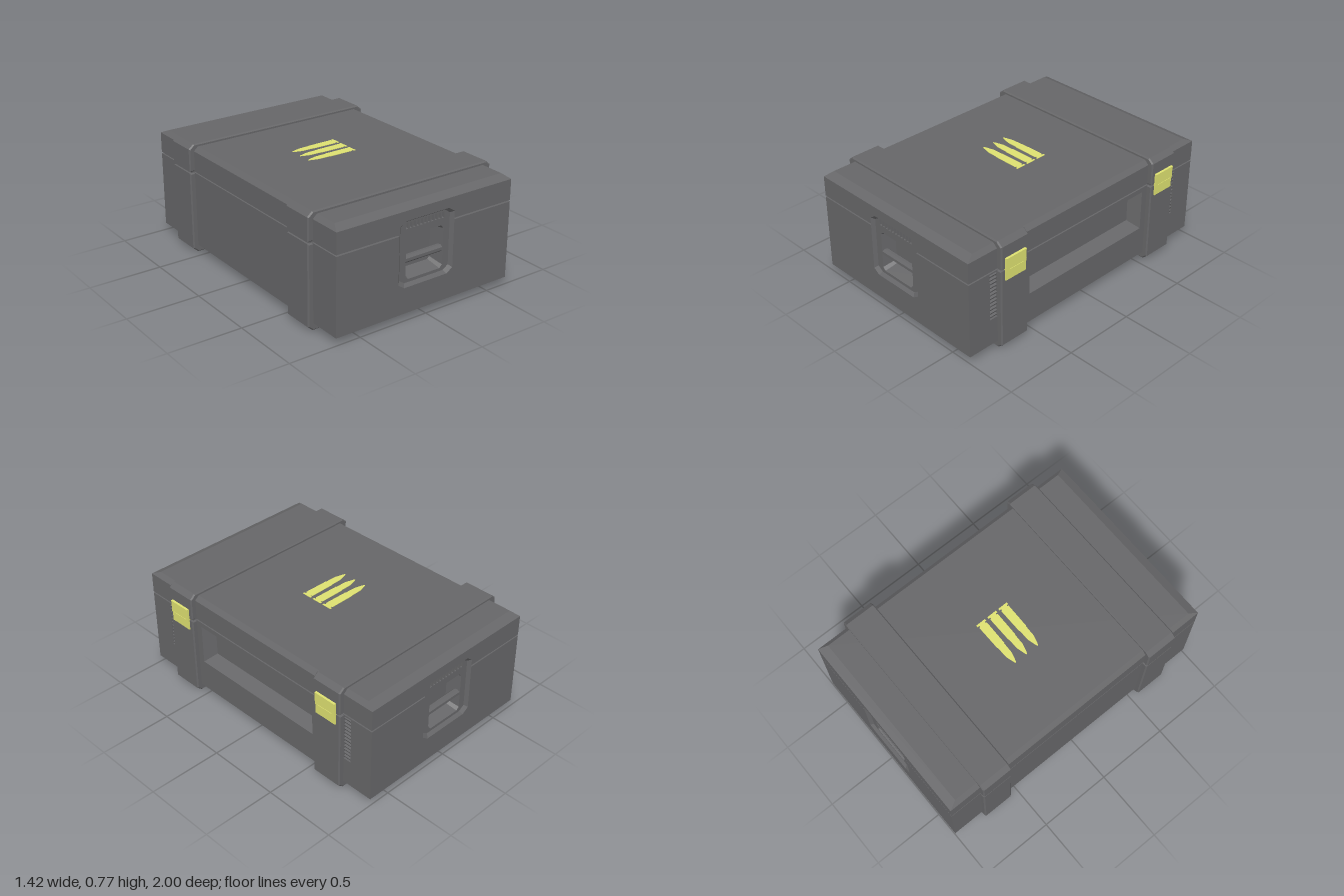
import * as THREE from 'three';

const HALF_W = 0.665, SEAM_LOW = 0.57, SEAM_HIGH = 0.58;
const dark = new THREE.MeshStandardMaterial({ color: 0x666668, flatShading: true });
const yellow = new THREE.MeshStandardMaterial({ color: 0xdde070, flatShading: true });

function add(parent, name, geometry, material = dark) {
  const mesh = new THREE.Mesh(geometry, material);
  mesh.name = name;
  parent.add(mesh);
  return mesh;
}

// Box given by its limits
function box(x0, x1, y0, y1, z0, z1) {
  return new THREE.BoxGeometry(x1 - x0, y1 - y0, z1 - z0)
    .translate((x0 + x1) / 2, (y0 + y1) / 2, (z0 + z1) / 2);
}

// Counter-clockwise outlines
const rect = (x0, x1, y0, y1) => [[x0, y0], [x1, y0], [x1, y1], [x0, y1]];
const octagon = (x, y0, y1, c, d) => [
  [-x + c, y0], [x - c, y0], [x, y0 + d], [x, y1 - d],
  [x - c, y1], [-x + c, y1], [-x, y1 - d], [-x, y0 + d]];

function shapeOf(points, holes = []) {
  const shape = new THREE.Shape(points.map(p => new THREE.Vector2(...p)));
  shape.holes = holes.map(h => new THREE.Path(h.map(p => new THREE.Vector2(...p))));
  return shape;
}

const slab = (points, depth, holes) =>
  new THREE.ExtrudeGeometry(shapeOf(points, holes), { depth, bevelEnabled: false });

// Walls between an outline at z = 0 and a second one at z = dz
function loft(from, to, dz) {
  const v = [];
  from.forEach((a, i) => {
    const j = (i + 1) % from.length;
    const A = [...a, 0], B = [...from[j], 0], C = [...to[j], dz], D = [...to[i], dz];
    v.push(...A, ...B, ...C, ...A, ...C, ...D);
  });
  const g = new THREE.BufferGeometry();
  g.setAttribute('position', new THREE.Float32BufferAttribute(v, 3));
  g.computeVertexNormals();
  return g;
}

// Recess (dz < 0) or raised frustum (dz > 0) with its closing face
function taper(parent, name, from, to, dz, z = 0, holes = []) {
  const group = new THREE.Group();
  group.name = name;
  group.position.z = z;
  parent.add(group);
  add(group, name + 'Walls', loft(from, to, dz));
  add(group, name + 'Face', new THREE.ShapeGeometry(shapeOf(to, holes)).translate(0, 0, dz));
  return group;
}

// End wall with its sunken grip panel, facing +z
const PANEL = octagon(0.21, 0.222, 0.655, 0.045, 0.03);
function endWall(name) {
  const end = new THREE.Group();
  end.name = name;
  const [b0, b1, r0, r1, t0, t1, l0, l1] = PANEL;
  add(end, 'lowerEndPlate', slab([
    [-HALF_W, 0.05], [HALF_W, 0.05], [HALF_W, SEAM_LOW], [r0[0], SEAM_LOW],
    r0, b1, b0, l1, [l1[0], SEAM_LOW], [-HALF_W, SEAM_LOW]], 0.15).translate(0, 0, 0.85));
  add(end, 'upperEndPlate', slab([
    [-HALF_W, SEAM_HIGH], [l0[0], SEAM_HIGH], l0, t1, t0, r1,
    [r1[0], SEAM_HIGH], [HALF_W, SEAM_HIGH], [HALF_W, 0.72], [-HALF_W, 0.72]], 0.15).translate(0, 0, 0.85));

  const pocket = octagon(0.143, 0.262, 0.545, 0.02, 0.02);
  const slots = [];
  for (let i = -5; i <= 5; i++) slots.push(rect(i * 0.0275 - 0.009, i * 0.0275 + 0.009, 0.592, 0.632));
  taper(end, 'gripPanel', PANEL, octagon(0.19, 0.242, 0.641, 0.04, 0.027), -0.02, 1, [pocket, ...slots]);
  taper(end, 'gripPocket', pocket, octagon(0.118, 0.295, 0.528, 0.015, 0.015), -0.09, 0.98);
  slots.forEach(s => taper(end, 'gripSlot', s, s, -0.02, 0.98));
  add(end, 'gripBar', new THREE.CylinderGeometry(0.025, 0.025, 0.284, 8)
    .rotateY(Math.PI / 8).rotateZ(Math.PI / 2).translate(0, 0.388, 0.955));
  return end;
}

// Latch side: long recess and two finned vents, built facing +z then turned to +x
function latchSide() {
  const side = new THREE.Group();
  side.name = 'latchSide';
  const recess = rect(-0.51, 0.51, 0.26, 0.537);
  const vents = [rect(0.765, 0.835, 0.235, 0.56), rect(-0.835, -0.765, 0.235, 0.56)];
  add(side, 'sidePlate', slab(rect(-0.85, 0.85, 0.05, SEAM_LOW), 0.1, [recess, ...vents]).translate(0, 0, -0.1));
  taper(side, 'sideRecess', recess, rect(-0.465, 0.465, 0.307, 0.522), -0.08);
  vents.forEach(v => {
    taper(side, 'sideVent', v, v, -0.04);
    for (let i = 0; i < 12; i++) {
      const fin = add(side, 'ventFin', new THREE.BoxGeometry(0.07, 0.013, 0.03));
      fin.position.set((v[0][0] + v[1][0]) / 2, 0.252 + i * 0.0265, -0.02);
      fin.rotation.x = 0.35;
    }
  });
  side.rotation.y = Math.PI / 2;
  side.position.x = HALF_W;
  return side;
}

// Band around the case, split at the seam, with softened edges
function strap(z) {
  const group = new THREE.Group();
  group.name = 'strap';
  const b = 0.008;
  const half = points => new THREE.ExtrudeGeometry(shapeOf(points), {
    depth: 0.22 - 2 * b, bevelThickness: b, bevelSize: b, bevelOffset: -b, bevelSegments: 1,
  }).translate(0, 0, -0.11 + b);
  add(group, 'lowerStrap', half([[-0.665, 0], [0.665, 0], [0.7, 0.03], [0.7, SEAM_LOW], [-0.7, SEAM_LOW], [-0.7, 0.03]]));
  add(group, 'upperStrap', half([[-0.7, SEAM_HIGH], [0.7, SEAM_HIGH], [0.7, 0.737], [0.665, 0.767], [-0.665, 0.767], [-0.7, 0.737]]));
  add(group, 'strapSeam', box(-0.685, 0.685, 0.56, 0.59, -0.1, 0.1));
  group.position.z = z;
  return group;
}

// Latch plate with a thicker upper half and a raised lip
function latch(z) {
  const group = new THREE.Group();
  group.name = 'latch';
  add(group, 'latchPlate', box(0.69, 0.708, 0.5, 0.655, -0.081, 0.081), yellow);
  add(group, 'latchCap', box(0.69, 0.713, 0.567, 0.655, -0.081, 0.081), yellow);
  add(group, 'latchRim', box(0.7, 0.716, 0.645, 0.655, -0.081, 0.081), yellow);
  add(group, 'latchLip', box(0.7, 0.716, 0.567, 0.575, -0.06, 0.06), yellow);
  group.position.z = z;
  return group;
}

export function createModel() {
  const model = new THREE.Group();
  model.name = 'caseModel';
  const shell = new THREE.Group();
  shell.name = 'shell';
  shell.position.x = -0.01;
  model.add(shell);

  // Core blocks and seam
  add(shell, 'baseBlock', box(-HALF_W, 0.565, 0.05, SEAM_LOW, -0.85, 0.85));
  add(shell, 'lidBlock', box(-HALF_W, HALF_W, SEAM_HIGH, 0.72, -0.85, 0.85));
  add(shell, 'seam', box(-0.655, 0.655, 0.563, 0.587, -0.975, 0.975));

  // Chamfered top and bottom
  const edge = rect(-HALF_W, HALF_W, -1, 1), inner = rect(-0.635, 0.635, -0.94, 0.94);
  const top = taper(shell, 'lidTop', edge, inner, 0.027);
  top.rotation.x = -Math.PI / 2;
  top.position.y = 0.72;
  const bottom = taper(shell, 'baseBottom', edge, inner, 0.027);
  bottom.rotation.x = Math.PI / 2;
  bottom.position.y = 0.05;

  // End walls, latch side, straps and latches
  const back = endWall('backEnd');
  back.rotation.y = Math.PI;
  shell.add(endWall('frontEnd'), back, latchSide());
  for (const s of [-1, 1]) shell.add(strap(s * 0.665), latch(s * 0.665));

  // Three flat pointed markings on the lid
  const profile = [[-0.13, 0.023], [-0.05, 0.025], [-0.05, 0.028], [0.125, 0.03], [0.128, 0.022], [0.136, 0.022], [0.136, 0.035], [0.15, 0.035]];
  const outline = [[-0.2, 0], [-0.19, -0.006], ...profile.map(([x, y]) => [x, -y]),
    ...profile.slice().reverse(), [-0.19, 0.006]];
  for (const z of [-0.108, -0.019, 0.07]) {
    const mark = add(shell, 'lidMarking', slab(outline, 0.004), yellow);
    mark.rotation.x = -Math.PI / 2;
    mark.position.set(0, 0.746, z);
  }
  return model;
}
